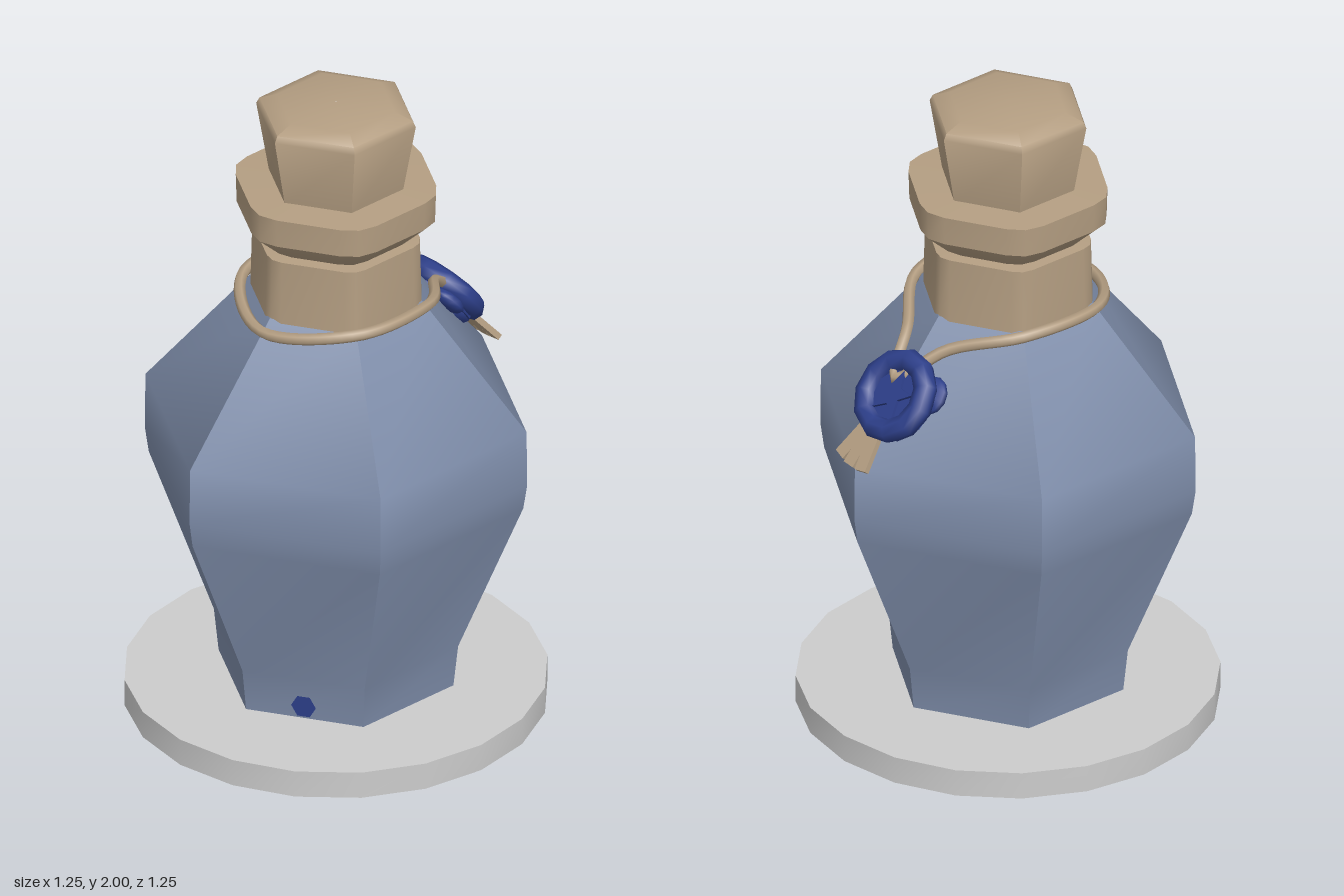
import * as THREE from 'three';
import { toCreasedNormals } from 'three/addons/utils/BufferGeometryUtils.js';

const mat = (name, color, extra = {}) => {
  const m = new THREE.MeshStandardMaterial({ color, ...extra });
  m.name = name;
  return m;
};

// Outline of a unit hexagon with a corner on +x; soft > 0 rounds each corner
function hexOutline(soft) {
  const corner = (i) => new THREE.Vector2(Math.cos(i * Math.PI / 3), Math.sin(i * Math.PI / 3));
  const pts = [];
  for (let i = 0; i < 6; i++) {
    const c = corner(i);
    if (!soft) { pts.push(c); continue; }
    const a = c.clone().lerp(corner(i - 1), soft);
    const b = c.clone().lerp(corner(i + 1), soft);
    pts.push(a, a.clone().add(b).multiplyScalar(0.25).addScaledVector(c, 0.5), b);
  }
  return pts;
}

// Skin of [radius, y] rows, from the bottom up and outside in
function hexLoft(rows, soft, crease) {
  const ring = hexOutline(soft), n = ring.length, pos = [], idx = [];
  for (const [r, y] of rows) for (const p of ring) pos.push(p.x * r, y, -p.y * r);
  for (let i = 0; i < rows.length - 1; i++) {
    for (let j = 0; j < n; j++) {
      const a = i * n + j, b = i * n + (j + 1) % n;
      idx.push(a, b, b + n, a, b + n, a + n);
    }
  }
  const g = new THREE.BufferGeometry();
  g.setAttribute('position', new THREE.Float32BufferAttribute(pos, 3));
  g.setIndex(idx);
  return toCreasedNormals(g, crease);
}

export function createModel() {
  const model = new THREE.Group();
  model.name = 'potionBottle';
  const stone = mat('lightGrey', 0xcccccc);
  const glass = mat('dustyBlue', 0x7f8eab);
  const tan = mat('tan', 0xb49e82);
  const wax = mat('deepBlue', 0x2d3f8a);
  const add = (name, geo, material, parent = model) => {
    const m = new THREE.Mesh(geo, material);
    m.name = name;
    parent.add(m);
    return m;
  };

  // Round stand
  const stand = new THREE.CylinderGeometry(0.625, 0.625, 0.085, 20);
  add('stand', toCreasedNormals(stand, 0.5), stone).position.y = 0.0425;

  // Six-sided bottle body, smooth up the sides and sharp at the corners
  add('body', hexLoft([[0.36, 0.08], [0.375, 0.22], [0.575, 0.72], [0.587, 0.8],
    [0.585, 0.98], [0.265, 1.37], [0.2, 1.375]], 0, 0.8), glass);

  // Neck, flared lip and cork
  add('neck', hexLoft([[0.272, 1.36], [0.266, 1.565], [0.2, 1.57]], 0.14, 0.6), tan);
  add('lip', hexLoft([[0.2, 1.565], [0.24, 1.575], [0.32, 1.645], [0.323, 1.735],
    [0.18, 1.74]], 0.2, 0.6), tan);
  add('cork', hexLoft([[0.205, 1.73], [0.245, 1.955], [0.235, 1.975], [0.18, 1.996],
    [0.001, 2]], 0, 0.8), tan);

  // Cord hung around the shoulder, meeting under the seal
  const half = [[0.31, 1.31, 0.09], [0.14, 1.365, 0.25], [-0.14, 1.37, 0.25]];
  const loop = [[0.43, 1.22, 0], ...half, [-0.295, 1.335, 0],
    ...half.slice().reverse().map(([x, y, z]) => [x, y, -z])];
  const path = new THREE.CatmullRomCurve3(loop.map((p) => new THREE.Vector3(...p)), true);
  add('cord', new THREE.TubeGeometry(path, 64, 0.018, 6, true), tan);

  // Wax seal, lying on the shoulder with local +z facing outward
  const seal = new THREE.Group();
  seal.name = 'seal';
  seal.matrix.makeBasis(new THREE.Vector3(0, 0, -1), new THREE.Vector3(-0.635, 0.774, 0),
    new THREE.Vector3(0.774, 0.635, 0)).setPosition(0.455, 1.185, -0.03);
  seal.matrix.decompose(seal.position, seal.quaternion, seal.scale);
  model.add(seal);
  add('sealRim', new THREE.TorusGeometry(0.11, 0.036, 8, 11), wax, seal);
  const disc = add('sealDisc', toCreasedNormals(new THREE.CylinderGeometry(0.11, 0.125, 0.045, 11), 0.5), wax, seal);
  disc.rotation.x = Math.PI / 2;
  disc.position.z = -0.015;

  // Raised star in the seal
  const star = new THREE.Shape();
  for (let i = 0; i < 10; i++) {
    const a = Math.PI / 2 + i * Math.PI / 5, r = i % 2 ? 0.032 : 0.075;
    star[i ? 'lineTo' : 'moveTo'](r * Math.cos(a), r * Math.sin(a));
  }
  star.closePath();
  const starGeo = new THREE.ExtrudeGeometry(star, { depth: 0.012, bevelEnabled: false });
  add('sealStar', starGeo, wax, seal).position.z = 0.006;

  // Wax drips squeezed out behind the seal
  for (const [x, y, r] of [[-0.085, 0.05, 0.06], [0.085, 0.05, 0.06], [0, -0.02, 0.11]]) {
    const drip = add('waxDrip', new THREE.SphereGeometry(r, 9, 6), wax, seal);
    drip.position.set(x, y, -0.04);
    drip.scale.z = 0.45;
  }

  // Splayed cord ends below the seal
  for (const [x, angle, len] of [[-0.065, -0.3, 0.13], [-0.03, -0.05, 0.15], [0.005, 0.18, 0.15]]) {
    const tail = add('cordEnd', new THREE.BoxGeometry(0.042, len, 0.018), tan, seal);
    tail.position.set(x, -0.17, -0.012);
    tail.rotation.z = angle;
  }

  // Small wax fleck low on the front right side
  const fleck = add('waxFleck', new THREE.CircleGeometry(0.038, 6), wax);
  fleck.position.set(-0.281, 0.13, 0.162);
  fleck.rotation.y = -Math.PI / 3;

  return model;
}
